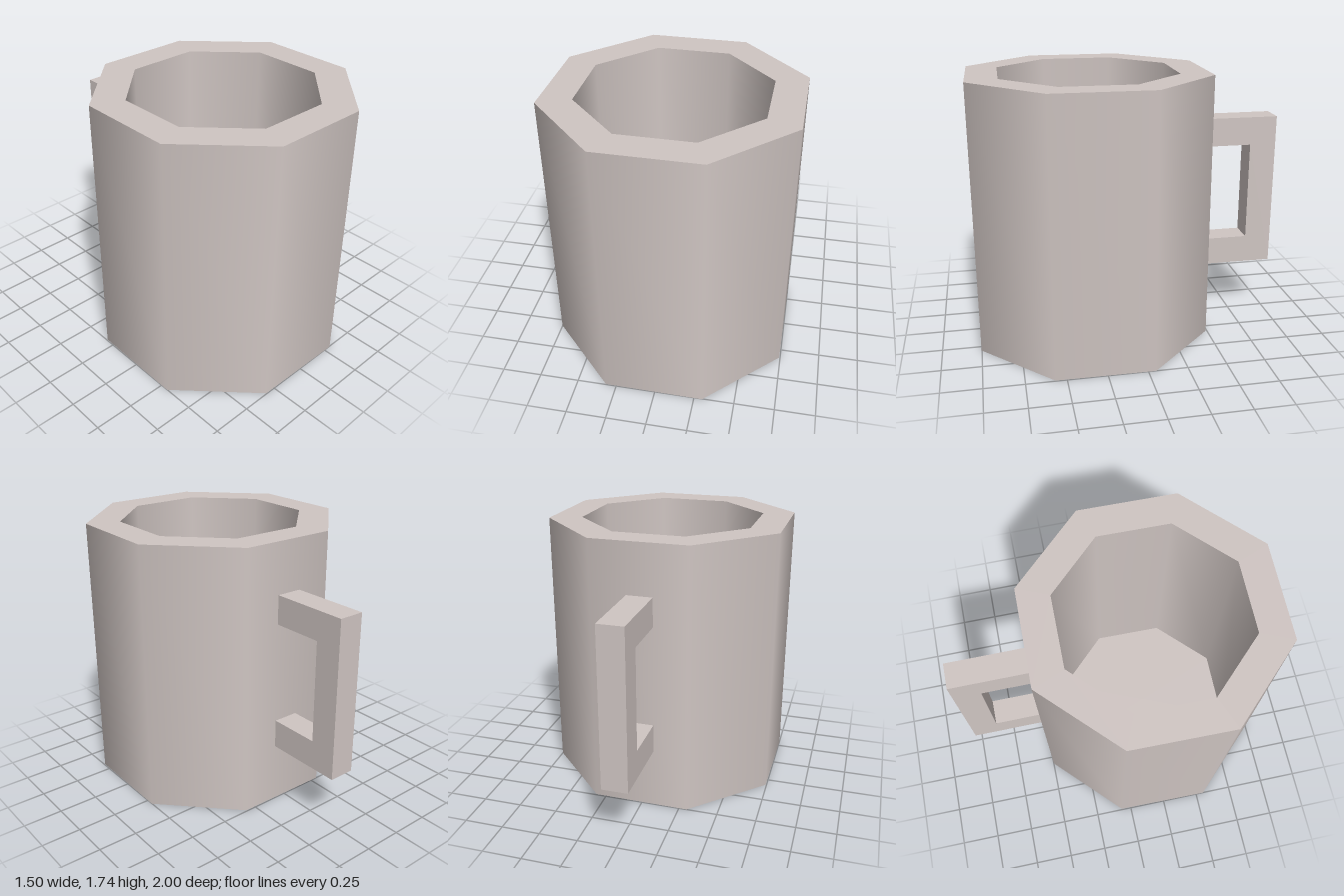
import * as THREE from 'three';

const SIDES = 8;
const HEIGHT = 1.735;
const OUTER = 0.809;
const INNER = 0.597;
const FLOOR = 0.2;
const TURN = Math.PI / 8 - 0.012;

export function createModel() {
  const model = new THREE.Group();
  model.name = 'mug';
  const clay = new THREE.MeshStandardMaterial({ color: 0xcfc5c2 });
  clay.name = 'warm grey';

  // Each cup surface is swept separately: smooth round the sides, crisp at the rims
  const cup = new THREE.Group();
  cup.name = 'cup';
  cup.position.z = 0.252;
  model.add(cup);
  const sweep = (name, r0, y0, r1, y1) => {
    const profile = [new THREE.Vector2(r0, y0), new THREE.Vector2(r1, y1)];
    const mesh = new THREE.Mesh(new THREE.LatheGeometry(profile, SIDES, TURN), clay);
    mesh.name = name;
    cup.add(mesh);
  };
  sweep('underside', 0, 0, OUTER, 0);
  sweep('outerWall', OUTER, 0, OUTER, HEIGHT);
  sweep('rim', OUTER, HEIGHT, INNER, HEIGHT);
  sweep('innerWall', INNER, HEIGHT, INNER, FLOOR);
  sweep('innerFloor', INNER, FLOOR, 0, FLOOR);

  // Square handle: a C outline (distance backwards, height) extruded across x
  const outline = [
    [0.47, 0.39], [1, 0.39], [1, 1.41], [0.47, 1.41],
    [0.47, 1.225], [0.825, 1.225], [0.825, 0.575], [0.47, 0.575],
  ].map(([back, y]) => new THREE.Vector2(back, y));
  const width = 0.165;
  const handleGeometry = new THREE.ExtrudeGeometry(new THREE.Shape(outline), {
    depth: width,
    bevelEnabled: false,
  });
  handleGeometry.translate(0, 0, -width / 2);
  handleGeometry.rotateY(Math.PI / 2);
  const handle = new THREE.Mesh(handleGeometry, clay);
  handle.name = 'handle';
  handle.position.x = 0.002;
  model.add(handle);

  return model;
}
